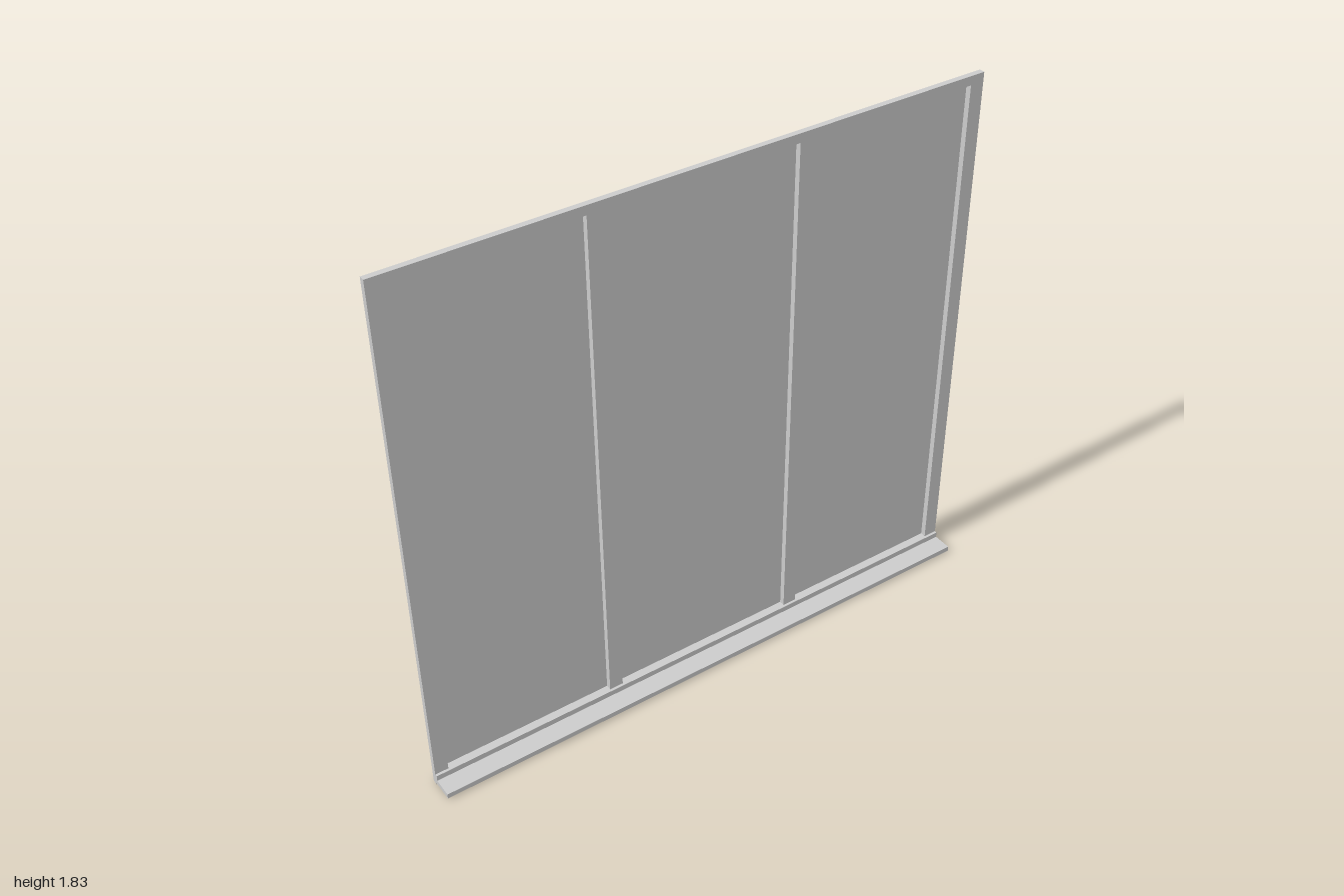
import * as THREE from 'three';

export function createModel() {
  const group = new THREE.Group();
  const material = new THREE.MeshStandardMaterial({ color: 0xcccccc, flatShading: true });

  // Box given by its extents on each axis
  const addBox = (name, [x0, x1], [y0, y1], [z0, z1]) => {
    const mesh = new THREE.Mesh(new THREE.BoxGeometry(x1 - x0, y1 - y0, z1 - z0), material);
    mesh.name = name;
    mesh.position.set((x0 + x1) / 2, (y0 + y1) / 2, (z0 + z1) / 2);
    group.add(mesh);
  };

  const frameZ = [-0.036, -0.017];
  const posts = [[-1, -0.955], [-0.37, -0.322], [0.325, 0.373], [0.952, 1]];
  const topRail = [1.8, 1.83];
  const bottomRail = [0.008, 0.045];

  // Upright battens, reaching the floor as small feet
  posts.forEach((x) => addBox('post', x, [0, topRail[0]], frameZ));

  // Rails: one across the top, short lengths between the posts below
  addBox('topRail', [-1, 1], topRail, frameZ);
  for (let i = 0; i < posts.length - 1; i++) {
    addBox('bottomRail', [posts[i][1], posts[i + 1][0]], bottomRail, frameZ);
  }

  // Sheet fixed to the back of the frame
  addBox('backPanel', [-0.968, 0.954], [0.024, 1.815], [-0.058, -0.036]);

  // Ledge along the front with its upstand
  addBox('ledgeUpstand', [-1, 1], [0.007, 0.045], [-0.017, -0.008]);
  addBox('ledge', [-1, 1], [0.007, 0.025], [-0.008, 0.058]);

  return group;
}
